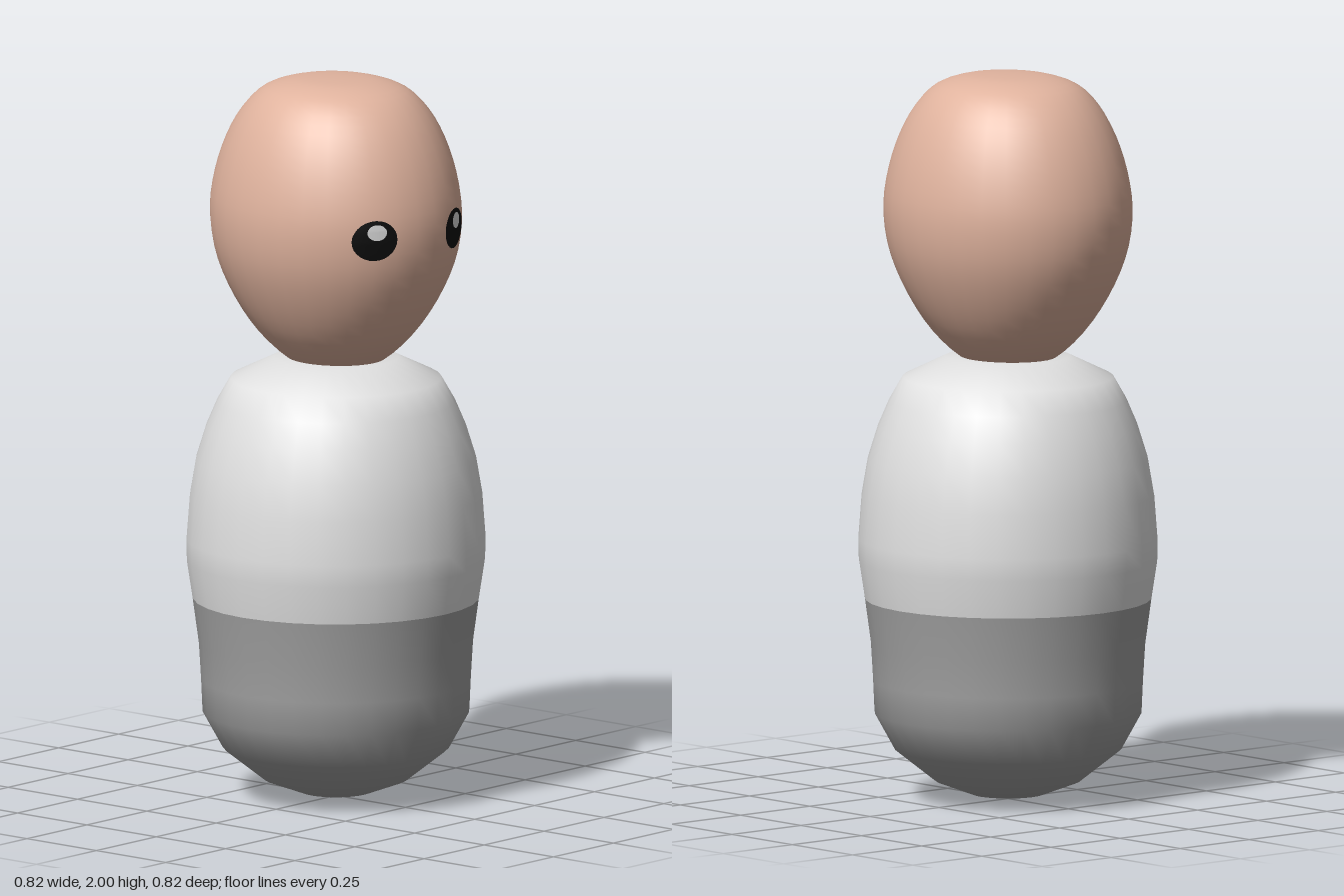
import * as THREE from 'three';

const material = (name, color) => {
  const m = new THREE.MeshStandardMaterial({ color });
  m.name = name;
  return m;
};
const points = (list) => list.map(([r, y]) => new THREE.Vector2(r, y));

const SEGMENTS = 32;
const DEPTH = 1.105; // the head is deeper than it is wide

// Smooth egg profile of the head, bottom to top
const headProfile = new THREE.SplineCurve(points([
  [0, 1.185], [0.06, 1.193], [0.13, 1.225], [0.205, 1.3], [0.267, 1.4], [0.31, 1.51],
  [0.325, 1.62], [0.315, 1.72], [0.287, 1.82], [0.245, 1.905], [0.19, 1.965],
  [0.12, 1.992], [0.05, 1.999], [0, 2],
])).getPoints(40);
headProfile[0].x = headProfile[40].x = 0;

// Head radius at a given height
function headRadius(y) {
  const i = headProfile.findIndex((p) => p.y > y);
  const a = headProfile[i - 1], b = headProfile[i];
  return a.x + (b.x - a.x) * (y - a.y) / (b.y - a.y);
}

// Oval laid on the front of the head
function faceOval(name, x, y, rx, ry, lift, mat) {
  const g = new THREE.RingGeometry(0, 1, 28, 5);
  g.scale(rx, ry, 1);
  g.translate(x, y, 0);
  const p = g.attributes.position;
  for (let i = 0; i < p.count; i++) {
    const r = headRadius(p.getY(i));
    p.setZ(i, DEPTH * Math.sqrt(Math.max(0, r * r - p.getX(i) ** 2)) + lift);
  }
  g.computeVertexNormals();
  const mesh = new THREE.Mesh(g, mat);
  mesh.name = name;
  return mesh;
}

export function createModel() {
  const skin = material('skin', 0xe0b39e);
  const shirtGrey = material('light grey', 0xe0e0e0);
  const trouserGrey = material('mid grey', 0xa0a0a0);
  const black = material('black', 0x0c0c0c);
  const white = material('eye highlight', 0xd8d8d8);

  const model = new THREE.Group();
  model.name = 'pegFigure';
  const lathe = (name, profile, mat) => {
    const mesh = new THREE.Mesh(new THREE.LatheGeometry(profile, SEGMENTS), mat);
    mesh.name = name;
    model.add(mesh);
    return mesh;
  };

  // Body: rounded lower part and barrel-shaped upper part
  lathe('lowerBody', points([
    [0, 0], [0.1, 0.015], [0.2, 0.053], [0.31, 0.14], [0.365, 0.24],
    [0.369, 0.33], [0.375, 0.43], [0.392, 0.555],
  ]), trouserGrey);
  lathe('upperBody', points([
    [0.392, 0.555], [0.408, 0.66], [0.409, 0.72], [0.4, 0.84], [0.383, 0.94],
    [0.355, 1.03], [0.325, 1.1], [0.288, 1.165], [0.17, 1.222], [0, 1.222],
  ]), shirtGrey);

  // Head
  lathe('head', headProfile, skin).scale.z = DEPTH;

  // Eyes with highlights
  for (const [side, x, rx] of [['right', -0.18, 0.051], ['left', 0.098, 0.056]]) {
    model.add(faceOval(side + 'Eye', x, 1.61, rx, 0.056, 0.004, black));
    model.add(faceOval(side + 'EyeHighlight', x, 1.633, 0.022, 0.022, 0.007, white));
  }
  return model;
}
